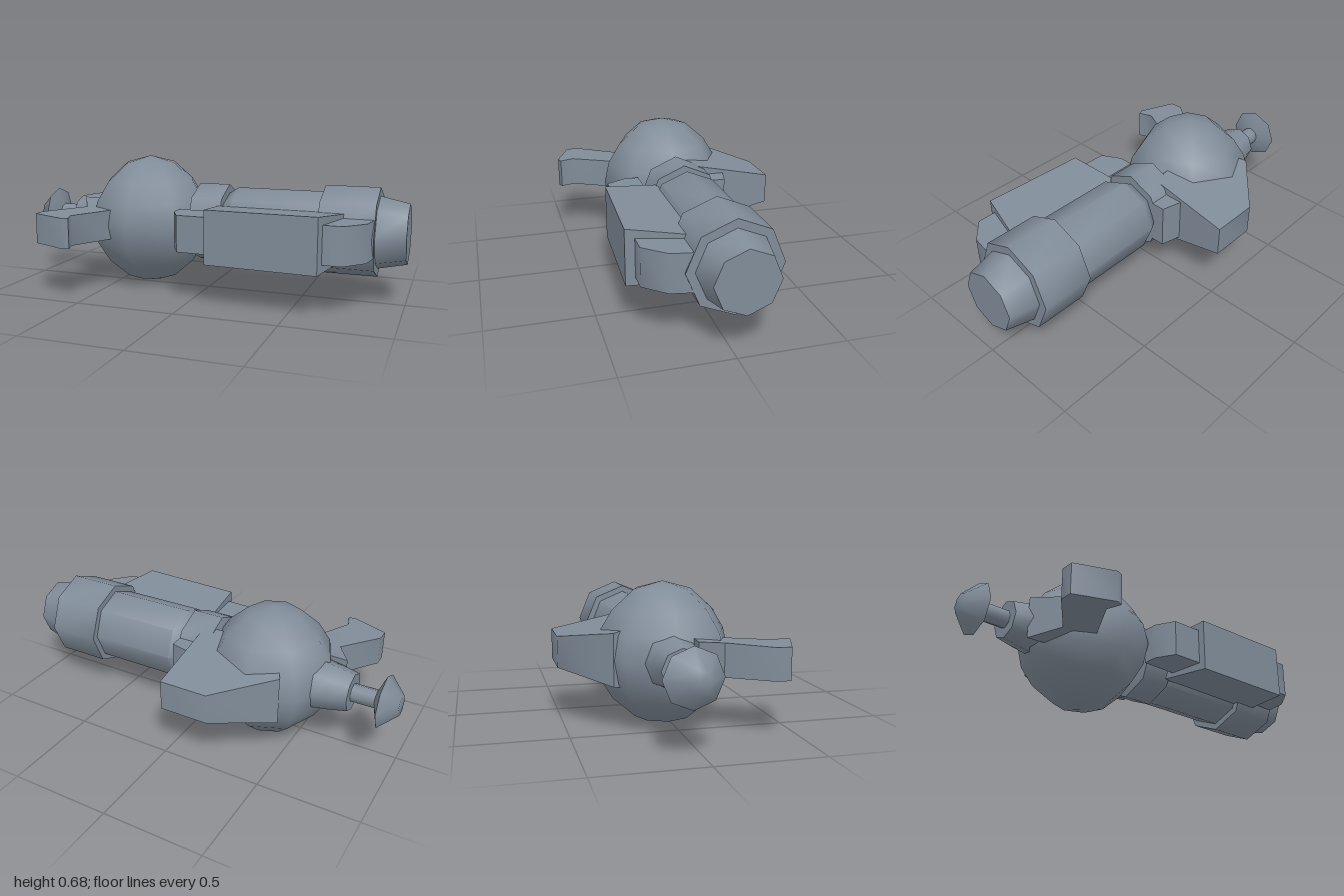
import * as THREE from 'three';
import { toCreasedNormals } from 'three/addons/utils/BufferGeometryUtils.js';

const CY = 0.345, CZ = -0.037;

export function createModel() {
  const group = new THREE.Group();
  const steel = new THREE.MeshStandardMaterial({ color: 0x808c99 });
  steel.name = 'blue grey steel';

  const add = (name, geo, x = 0, y = 0, z = 0) => {
    const mesh = new THREE.Mesh(toCreasedNormals(geo, 0.9), steel);
    mesh.name = name;
    mesh.position.set(x, y, z);
    group.add(mesh);
    return mesh;
  };

  // Eight-sided turned part along x; profile is [x, radius] from left to right
  const turned = (name, profile, z = CZ, zScale = 1) => {
    const geo = new THREE.LatheGeometry(profile.map(([x, r]) => new THREE.Vector2(r, x)), 8);
    geo.rotateZ(-Math.PI / 2).scale(1, 1, zScale);
    return add(name, geo, 0, CY, z);
  };

  // Block with an [x, z] plan outline; its height can vary with position
  const block = (name, plan, height) => {
    const shape = new THREE.Shape(plan.map(([x, z]) => new THREE.Vector2(x, -z)));
    const geo = new THREE.ExtrudeGeometry(shape, { depth: 1, bevelEnabled: false });
    geo.rotateX(-Math.PI / 2);
    const p = geo.attributes.position;
    for (let i = 0; i < p.count; i++) {
      p.setY(i, (p.getY(i) - 0.5) * height(p.getX(i), p.getZ(i)));
    }
    return add(name, geo, 0, CY, 0);
  };

  // Round body, turned about the upright axis
  const half = [[0.338, 0], [0.302, 0.134], [0.21, 0.238], [0.11, 0.3]];
  const profile = [
    ...half.map(([y, r]) => new THREE.Vector2(r, -y)),
    new THREE.Vector2(0.325, 0),
    ...half.slice().reverse().map(([y, r]) => new THREE.Vector2(r, y)),
  ];
  add('roundBody', new THREE.LatheGeometry(profile, 8), -0.34, 0.342, CZ);

  // Barrel, from the collar to the muzzle
  turned('collar', [[-0.1, 0], [-0.06, 0.2], [-0.06, 0.2], [0.1, 0.2], [0.1, 0]], CZ, 0.94);
  turned('barrel', [[0.08, 0], [0.1, 0.155], [0.15, 0.187], [0.62, 0.187], [0.62, 0]]);
  turned('muzzleRing', [[0.595, 0], [0.595, 0.22], [0.86, 0.22], [0.86, 0]]);
  turned('muzzleTip', [[0.84, 0], [0.84, 0.183], [1, 0.148], [1, 0]]);

  // Rear plunger
  turned('rearSocket', [[-0.77, 0], [-0.77, 0.095], [-0.68, 0.113], [-0.6, 0.125], [-0.6, 0]], -0.058);
  turned('plungerRod', [[-0.92, 0], [-0.9, 0.045], [-0.74, 0.045], [-0.74, 0]], -0.058);
  turned('plungerKnob', [[-1, 0], [-1, 0.05], [-0.92, 0.132], [-0.885, 0.045], [-0.885, 0]], -0.058);

  // Grip, flared where it joins the body
  block('grip', [
    [-0.7, 0.03], [-0.61, 0.18], [-0.755, 0.37], [-0.755, 0.435],
    [-0.565, 0.512], [-0.535, 0.5], [-0.56, 0.43], [-0.45, 0.22], [-0.4, 0.05],
  ], (x, z) => 0.15 + Math.max(0, 0.2 - z) * 0.35);

  // Back fin, narrowing outward, with a web to the collar
  block('backFin', [
    [-0.5, -0.3], [-0.44, -0.35], [-0.24, -0.52], [0, -0.52], [0, -0.1], [-0.4, -0.1],
  ], (x, z) => 0.15 + (z + 0.52) * 0.425);
  block('finWeb', [[-0.03, -0.28], [0, -0.275], [0.1, -0.25], [0.1, -0.12], [-0.03, -0.12]],
    () => 0.22);

  // Side guard and its two end blocks
  block('sideGuard', [[0.08, 0.1], [0.085, 0.14], [0.105, 0.365], [0.645, 0.387], [0.715, 0.14], [0.72, 0.1]],
    (x, z) => 0.215 + (z - 0.1) * 0.18);
  block('guardRearBlock', [[-0.1, 0.155], [-0.1, 0.23], [-0.05, 0.325], [0.12, 0.332], [0.12, 0.155]],
    () => 0.18);
  block('guardFrontBlock', [[0.62, 0.13], [0.62, 0.345], [0.75, 0.345], [0.84, 0.245], [0.86, 0.13]],
    () => 0.182);

  return group;
}
